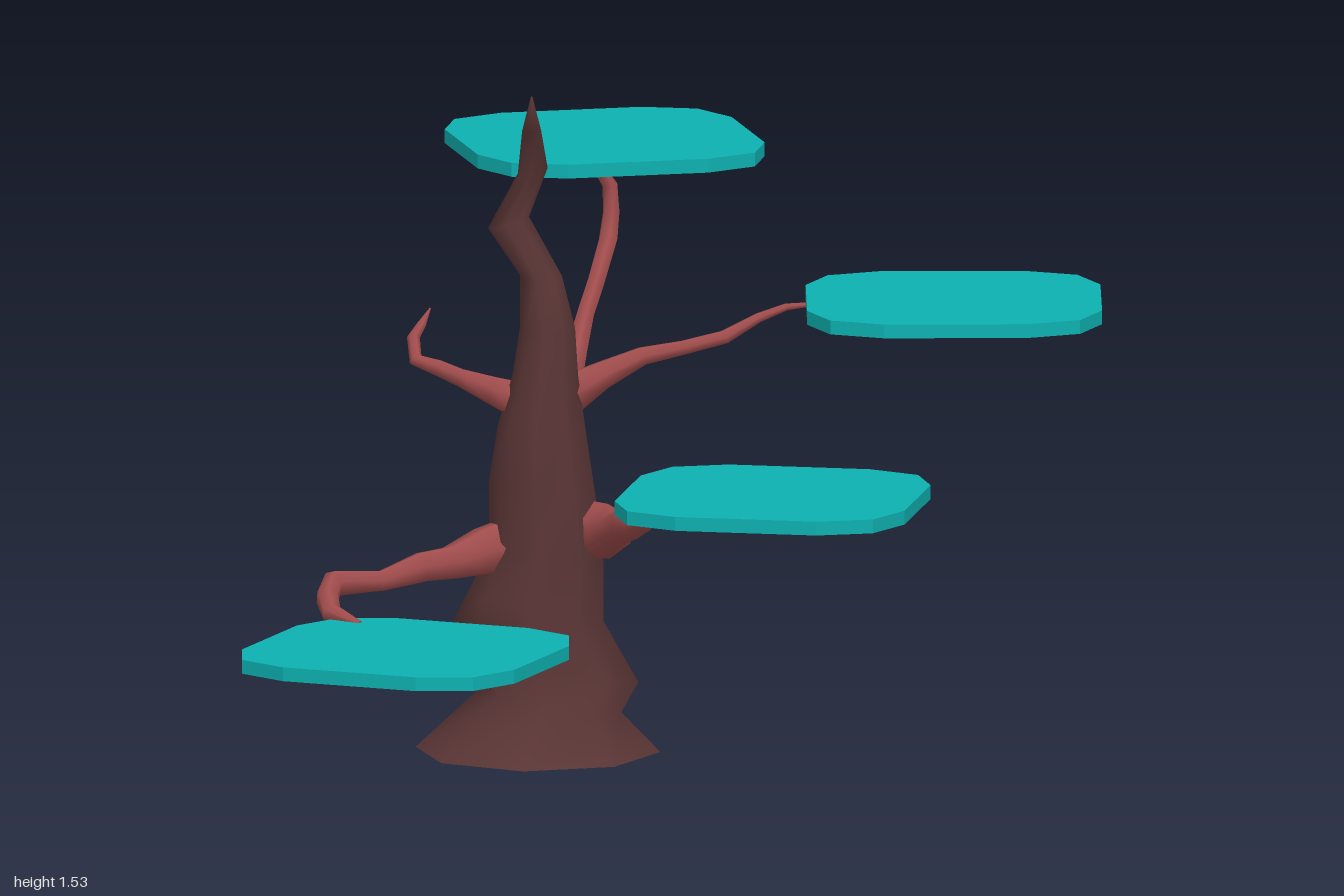
import * as THREE from 'three';

const V = (x, y, z) => new THREE.Vector3(x, y, z);
const SIDES = 8;

// Skin a series of rings (arrays of points, counter-clockwise about the growth direction) and cap both ends.
function loft(rings) {
  const n = rings[0].length, pos = [], index = [];
  rings.forEach(r => r.forEach(p => pos.push(p.x, p.y, p.z)));
  for (let i = 0; i < rings.length - 1; i++) {
    for (let j = 0; j < n; j++) {
      const k = (j + 1) % n, a = i * n + j, b = i * n + k;
      index.push(a, b, b + n, a, b + n, a + n);
    }
  }
  [rings[0], rings[rings.length - 1]].forEach((ring, end) => {
    const base = pos.length / 3;
    ring.forEach(p => pos.push(p.x, p.y, p.z));
    for (let j = 1; j < n - 1; j++) {
      if (end) index.push(base, base + j, base + j + 1);
      else index.push(base, base + j + 1, base + j);
    }
  });
  const g = new THREE.BufferGeometry();
  g.setAttribute('position', new THREE.Float32BufferAttribute(pos, 3));
  g.setIndex(index);
  g.computeVertexNormals();
  return g;
}

// Trunk rings: x, y, z, half width, half depth, slope of the ring across x
function trunkGeometry() {
  const rings = [
    [-0.35, 0, -0.155, 0.28, 0.28, 0],
    [-0.315, 0.12, -0.155, 0.155, 0.18, -0.2],
    [-0.335, 0.22, -0.155, 0.215, 0.17, -0.28],
    [-0.35, 0.34, -0.155, 0.15, 0.16, -0.27],
    [-0.33, 0.47, -0.15, 0.13, 0.145, 0],
    [-0.34, 0.62, -0.135, 0.12, 0.125, 0],
    [-0.34, 0.75, -0.14, 0.1, 0.12, 0],
    [-0.33, 0.87, -0.13, 0.075, 0.09, 0],
    [-0.325, 0.98, -0.13, 0.063, 0.08, 0],
    [-0.34, 1.1, -0.13, 0.048, 0.065, 0],
    [-0.415, 1.22, -0.135, 0.047, 0.05, 0.3],
    [-0.36, 1.34, -0.14, 0.034, 0.035, 0.2],
    [-0.35, 1.45, -0.035, 0.022, 0.022, 0],
    [-0.35, 1.53, -0.035, 0.002, 0.002, 0],
  ];
  return loft(rings.map(([x, y, z, rx, rz, slope]) =>
    Array.from({ length: SIDES }, (_, j) => {
      const a = j / SIDES * Math.PI * 2, dx = rx * Math.cos(a);
      return V(x + dx, y + slope * dx, z - rz * Math.sin(a));
    })));
}

// Branch points: x, y, z, radius; the ring frame is carried along the path
function branchGeometry(points) {
  const p = points.map(([x, y, z]) => V(x, y, z));
  const normal = V(0.3, 1, 0.2);
  return loft(p.map((c, i) => {
    const t = p[Math.min(i + 1, p.length - 1)].clone().sub(p[Math.max(i - 1, 0)]).normalize();
    normal.addScaledVector(t, -normal.dot(t)).normalize();
    const side = t.clone().cross(normal);
    return Array.from({ length: 6 }, (_, j) => {
      const a = j / 6 * Math.PI * 2, r = points[i][3];
      return c.clone().addScaledVector(normal, r * Math.cos(a)).addScaledVector(side, r * Math.sin(a));
    });
  }));
}

// Rounded square slab with a single facet point on each corner
function platformGeometry() {
  const pts = [];
  for (let k = 0; k < 4; k++) {
    for (const [x, y] of [[0.335, -0.163], [0.335, 0.163], [0.284, 0.284]]) {
      pts.push(new THREE.Vector2(x, y).rotateAround(new THREE.Vector2(), k * Math.PI / 2));
    }
  }
  const g = new THREE.ExtrudeGeometry(new THREE.Shape(pts), { depth: 0.032, bevelEnabled: false });
  return g.rotateX(-Math.PI / 2);
}

export function createModel() {
  const group = new THREE.Group();
  const bark = new THREE.MeshStandardMaterial({ color: 0x5a3535 });
  const wood = new THREE.MeshStandardMaterial({ color: 0xa04c4c });
  const teal = new THREE.MeshStandardMaterial({ color: 0x0eb0b0 });
  const add = (name, geometry, material) => {
    const mesh = new THREE.Mesh(geometry, material);
    mesh.name = name;
    group.add(mesh);
    return mesh;
  };

  add('trunk', trunkGeometry(), bark);

  const branches = {
    lowerRightBranch: [[-0.38, 0.48, -0.14, 0.075], [-0.46, 0.47, -0.08, 0.06], [-0.53, 0.455, 0, 0.042],
      [-0.59, 0.455, 0.06, 0.038], [-0.68, 0.425, 0.08, 0.026], [-0.785, 0.425, 0.13, 0.032],
      [-0.79, 0.405, 0.2, 0.027], [-0.77, 0.385, 0.28, 0.024], [-0.7, 0.37, 0.33, 0.008]],
    lowerLeftBranch: [[-0.27, 0.51, -0.17, 0.07], [-0.18, 0.52, -0.09, 0.062], [-0.155, 0.54, 0, 0.042],
      [-0.12, 0.57, 0.08, 0.044], [-0.085, 0.585, 0.17, 0.032], [-0.055, 0.61, 0.24, 0.026],
      [-0.01, 0.65, 0.31, 0.022], [0.015, 0.66, 0.36, 0.014], [0.06, 0.675, 0.42, 0.006]],
    upperLeftBranch: [[-0.28, 0.82, -0.16, 0.05], [-0.21, 0.86, -0.19, 0.035], [-0.12, 0.9, -0.23, 0.023],
      [-0.03, 0.915, -0.265, 0.018], [0.06, 0.935, -0.3, 0.017], [0.13, 0.97, -0.36, 0.012],
      [0.19, 0.99, -0.395, 0.009], [0.25, 0.992, -0.43, 0.005]],
    topBranch: [[-0.29, 0.82, -0.15, 0.04], [-0.275, 0.9, -0.25, 0.028], [-0.265, 0.97, -0.35, 0.022],
      [-0.25, 1.03, -0.43, 0.022], [-0.235, 1.11, -0.54, 0.023], [-0.23, 1.17, -0.56, 0.02],
      [-0.235, 1.23, -0.575, 0.018], [-0.26, 1.28, -0.545, 0.014], [-0.27, 1.305, -0.52, 0.006]],
    bareTwig: [[-0.37, 0.8, -0.14, 0.05], [-0.45, 0.825, -0.155, 0.035], [-0.53, 0.85, -0.18, 0.022],
      [-0.58, 0.87, -0.185, 0.02], [-0.635, 0.885, -0.2, 0.016], [-0.645, 0.93, -0.24, 0.015],
      [-0.63, 0.955, -0.27, 0.011], [-0.615, 0.985, -0.31, 0.002]],
  };
  for (const [name, points] of Object.entries(branches)) add(name, branchGeometry(points), wood);

  // Leaf platforms: name, x, bottom y, z, turn in degrees
  const platform = platformGeometry();
  for (const [name, x, y, z, turn] of [
    ['topPlatform', -0.254, 1.3, -0.635, 20],
    ['upperLeftPlatform', 0.571, 0.984, -0.415, 7.4],
    ['lowerLeftPlatform', 0.251, 0.672, 0.386, -3.7],
    ['lowerRightPlatform', -0.56, 0.342, 0.63, -15.8],
  ]) {
    const mesh = add(name, platform, teal);
    mesh.position.set(x, y, z);
    mesh.rotation.y = THREE.MathUtils.degToRad(turn);
  }
  return group;
}
